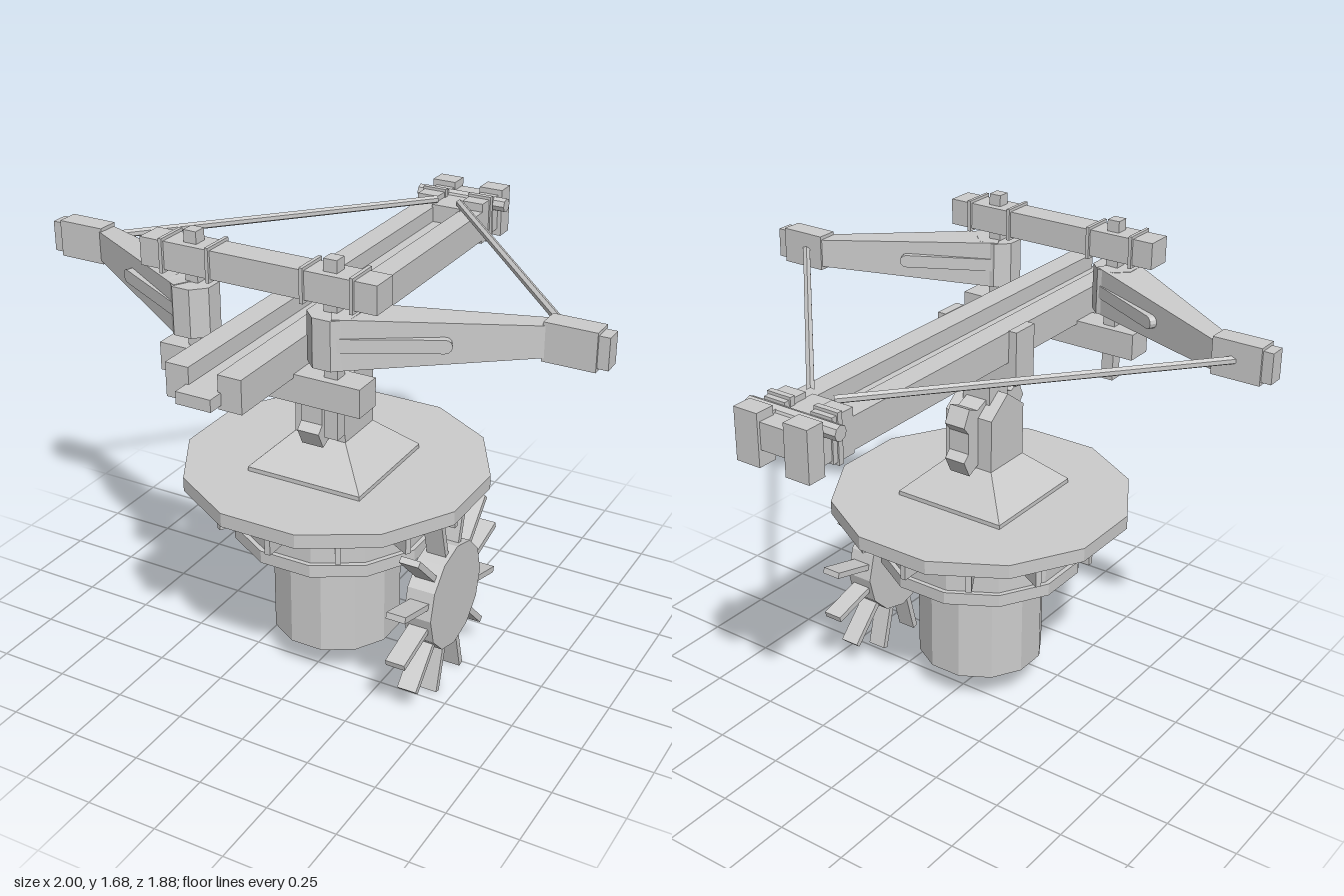
import * as THREE from 'three';

const material = new THREE.MeshStandardMaterial({ color: 0xcccccc, flatShading: true });
const CZ = 0.11; // z of the turntable axis

function add(parent, name, geometry, x = 0, y = 0, z = 0) {
  const mesh = new THREE.Mesh(geometry, material);
  mesh.name = name;
  mesh.position.set(x, y, z);
  parent.add(mesh);
  return mesh;
}

// Box given by its limits on each axis
function block(parent, name, [x0, x1], [y0, y1], [z0, z1]) {
  const g = new THREE.BoxGeometry(Math.abs(x1 - x0), y1 - y0, z1 - z0);
  return add(parent, name, g, (x0 + x1) / 2, (y0 + y1) / 2, (z0 + z1) / 2);
}

// Upright twelve-sided drum
function drum(parent, name, r, y0, y1) {
  const g = new THREE.CylinderGeometry(r, r, y1 - y0, 12).rotateY(Math.PI / 12);
  return add(parent, name, g, 0, (y0 + y1) / 2, CZ);
}

// Side outline in (z, y), extruded across x and centred
function sidePlate(parent, name, points, width) {
  const shape = new THREE.Shape(points.map(([z, y]) => new THREE.Vector2(-z, y)));
  const g = new THREE.ExtrudeGeometry(shape, { depth: width, bevelEnabled: false });
  g.translate(0, 0, -width / 2).rotateY(Math.PI / 2);
  return add(parent, name, g);
}

function rod(parent, name, a, b, r) {
  const curve = new THREE.LineCurve3(new THREE.Vector3(...a), new THREE.Vector3(...b));
  return add(parent, name, new THREE.TubeGeometry(curve, 1, r, 6), 0, 0, 0);
}

function makeBase() {
  const base = new THREE.Group();
  base.name = 'base';
  drum(base, 'column', 0.227, 0.12, 0.52);
  drum(base, 'collarFlange', 0.362, 0.50, 0.545);
  drum(base, 'collar', 0.345, 0.54, 0.72);
  drum(base, 'turntable', 0.53, 0.71, 0.76);
  // Gusset plates under the turntable
  for (let i = 0; i < 12; i++) {
    const g = new THREE.BoxGeometry(0.02, 0.09, 0.16).translate(0, 0, 0.375);
    add(base, 'gusset', g, 0, 0.66, CZ).rotation.y = i * Math.PI / 6;
  }
  return base;
}

function makeWheel() {
  const wheel = new THREE.Group();
  wheel.name = 'paddleWheel';
  wheel.position.set(0.413, 0.35, CZ);
  add(wheel, 'wheelHub', new THREE.CylinderGeometry(0.192, 0.192, 0.1, 12).rotateZ(Math.PI / 2));
  for (let i = 0; i < 12; i++) {
    const g = new THREE.BoxGeometry(0.07, 0.2, 0.022).translate(0, 0.259, 0);
    add(wheel, 'paddle', g).rotation.x = (i + 0.5) * Math.PI / 6;
  }
  return wheel;
}

function makeMount() {
  const mount = new THREE.Group();
  mount.name = 'mount';
  const z = 0.125;
  block(mount, 'plinth', [-0.213, 0.213], [0.76, 0.775], [z - 0.213, z + 0.213]);
  const pyramid = new THREE.CylinderGeometry(0.134, 0.301, 0.115, 4).rotateY(Math.PI / 4);
  add(mount, 'pyramid', pyramid, 0, 0.8325, z);
  sidePlate(mount, 'pivotPost',
    [[0.03, 0.88], [0.22, 0.88], [0.22, 1.08], [0.125, 1.15], [0.03, 1.08]], 0.19);
  // Toothed swivel through the post
  const half = [[0.08, 0.91], [0.145, 0.88], [0.175, 0.94], [0.15, 0.965],
    [0.15, 1.04], [0.175, 1.07], [0.145, 1.13], [0.1, 1.11]];
  const outline = [...half, [0, 1.15], ...half.slice().reverse().map(([a, y]) => [-a, y])];
  sidePlate(mount, 'swivel', outline.map(([a, y]) => [a + z, y]), 0.08);
  block(mount, 'neck', [-0.055, 0.055], [1.08, 1.22], [0.075, 0.18]);
  block(mount, 'cradleFloor', [-0.16, 0.16], [1.21, 1.295], [0.075, 0.18]);
  for (const s of [-1, 1])
    block(mount, 'cradleSide', [s * 0.128, s * 0.16], [1.21, 1.402], [0.075, 0.18]);
  return mount;
}

function makeStock() {
  const stock = new THREE.Group();
  stock.name = 'stock';
  for (const s of [-1, 1]) {
    block(stock, 'rail', [s * 0.05, s * 0.13], [1.29, 1.40], [-0.75, 0.88]);
    block(stock, 'rearBlock', [s * 0.05, s * 0.13], [1.28, 1.43], [-0.82, -0.725]);
    block(stock, 'rearStrap', [s * 0.045, s * 0.135], [1.27, 1.44], [-0.80, -0.78]);
    block(stock, 'rearEnd', [s * 0.05, s * 0.14], [1.265, 1.44], [-0.94, -0.87]);
    block(stock, 'rearJoin', [s * 0.055, s * 0.125], [1.29, 1.42], [-0.88, -0.81]);
  }
  block(stock, 'slide', [-0.06, 0.06], [1.305, 1.345], [-0.85, 0.935]);
  block(stock, 'latch', [-0.055, 0.055], [1.32, 1.41], [-0.93, -0.69]);
  const axle = new THREE.CylinderGeometry(0.026, 0.026, 0.35, 8).rotateZ(Math.PI / 2);
  add(stock, 'windlass', axle, 0, 1.40, -0.835);
  return stock;
}

function makeFrame() {
  const frame = new THREE.Group();
  frame.name = 'bowFrame';
  block(frame, 'upperBeam', [-0.41, 0.41], [1.548, 1.64], [0.497, 0.593]);
  block(frame, 'lowerBeam', [-0.355, 0.355], [1.208, 1.302], [0.495, 0.595]);
  for (const s of [-1, 1]) {
    block(frame, 'framePost', [s * 0.22, s * 0.265], [1.10, 1.68], [0.523, 0.568]);
    for (const x of [0.163, 0.33])
      block(frame, 'beamBand', [s * (x - 0.006), s * (x + 0.006)], [1.538, 1.65], [0.488, 0.602]);
  }
  return frame;
}

// Tapered bow limb with a raised slot bar, tip and string; s is the side
function makeLimb(s) {
  const limb = new THREE.Group();
  limb.name = s > 0 ? 'leftLimb' : 'rightLimb';
  const y = 1.435, angle = Math.atan2(0.30, 0.56), length = 0.645;
  add(limb, 'limbPivot', new THREE.CylinderGeometry(0.08, 0.08, 0.16, 8).rotateY(Math.PI / 8),
    s * 0.245, y, 0.553);

  const arm = new THREE.Group();
  arm.name = 'limbArm';
  arm.position.set(s * 0.24, y, 0.555);
  arm.rotation.y = s > 0 ? angle : Math.PI - angle;
  limb.add(arm);
  const g = new THREE.BoxGeometry(length, 1, 1).translate(length / 2, 0, 0);
  const p = g.attributes.position;
  for (let i = 0; i < p.count; i++) {
    const t = p.getX(i) / length;
    p.setY(i, p.getY(i) * (0.165 - 0.065 * t));
    p.setZ(i, p.getZ(i) * (0.145 - 0.08 * t));
  }
  g.computeVertexNormals();
  add(arm, 'armBeam', g);

  const slot = new THREE.Shape();
  slot.moveTo(0, -0.022);
  slot.lineTo(0.33, -0.022);
  slot.absarc(0.33, 0, 0.022, -Math.PI / 2, Math.PI / 2);
  slot.lineTo(0, 0.022);
  const bar = new THREE.ExtrudeGeometry(slot, { depth: 0.15, bevelEnabled: false, curveSegments: 3 });
  add(arm, 'slotBar', bar.translate(0, 0, -0.075));

  block(limb, 'limbTip', [s * 0.795, s * 0.965], [1.372, 1.498], [0.217, 0.292]);
  block(limb, 'tipCap', [s * 0.96, s], [1.383, 1.487], [0.225, 0.284]);
  rod(limb, 'bowString', [s * 0.875, 1.435, 0.23], [s * 0.045, 1.425, -0.71], 0.014);
  return limb;
}

export function createModel() {
  const model = new THREE.Group();
  model.name = 'mountedBallista';
  model.add(makeBase(), makeWheel(), makeMount(), makeStock(), makeFrame(), makeLimb(1), makeLimb(-1));
  return model;
}
